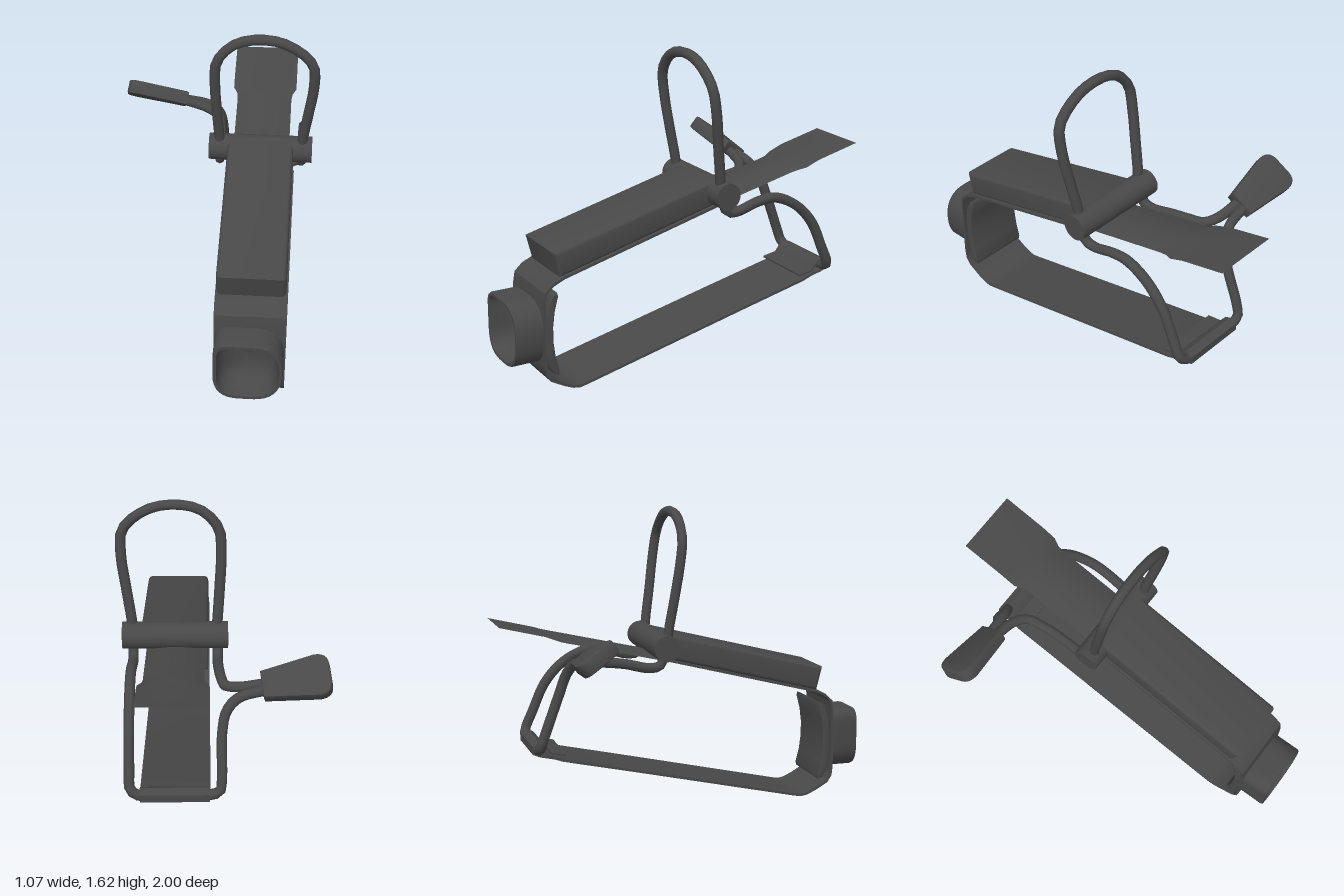
import * as THREE from 'three';
import { toCreasedNormals, mergeVertices } from 'three/addons/utils/BufferGeometryUtils.js';

const CX = 0.238; // centre of the strap across x
const mat = new THREE.MeshStandardMaterial({ color: 0x484848, side: THREE.DoubleSide });
const V = (x, y, z) => new THREE.Vector3(x, y, z);

export function createModel() {
  const model = new THREE.Group();
  const add = (name, geometry) => {
    const mesh = new THREE.Mesh(geometry, mat);
    mesh.name = name;
    model.add(mesh);
    return mesh;
  };

  // Side profile of [z, y] points, extruded across x
  const profile = (pts, width, bevel = 0) => {
    const shape = new THREE.Shape(pts.map(([z, y]) => new THREE.Vector2(z, y)));
    const g = new THREE.ExtrudeGeometry(shape, {
      depth: width - 2 * bevel, bevelEnabled: bevel > 0, bevelSize: bevel,
      bevelThickness: bevel, bevelOffset: -bevel, bevelSegments: 3,
    });
    g.translate(0, 0, -(width - 2 * bevel) / 2).rotateY(-Math.PI / 2).translate(CX, 0, 0);
    return toCreasedNormals(g, 0.6);
  };

  // Thin sheet following a [z, y] path
  const band = (path, width, t) => {
    const side = (s) => path.map(([z, y], i) => {
      const a = path[Math.max(i - 1, 0)], b = path[Math.min(i + 1, path.length - 1)];
      const dz = b[0] - a[0], dy = b[1] - a[1], l = Math.hypot(dz, dy);
      return [z - (s * t * dy) / l / 2, y + (s * t * dz) / l / 2];
    });
    return profile([...side(1), ...side(-1).reverse()], width, 0);
  };

  // Bent round wire
  const wire = (name, pts, r = 0.027, segs = 28) => add(name, new THREE.TubeGeometry(
    new THREE.CatmullRomCurve3(pts.map((p) => V(...p)), false, 'centripetal'), segs, r, 8));

  // Strap: under the housing, round the front and back along the bottom
  add('strap', band([
    [-0.14, 0.826], [0.3, 0.712], [0.74, 0.598], [0.8, 0.572], [0.84, 0.535], [0.849, 0.48],
    [0.849, 0.16], [0.843, 0.11], [0.82, 0.075], [0.75, 0.036], [0.7, 0.015], [0.665, 0.009],
    [0.62, 0.018], [-0.3, 0.23], [-0.68, 0.316], [-0.76, 0.345],
  ], 0.355, 0.013));

  // Folded clip gripping the bottom bar
  add('strapClip', band([
    [-0.66, 0.342], [-0.74, 0.356], [-0.77, 0.395], [-0.8, 0.412], [-0.835, 0.397],
    [-0.835, 0.36], [-0.8, 0.346], [-0.72, 0.328],
  ], 0.345, 0.01));

  // Housing on the upper strap
  add('housing', profile([[0.79, 0.728], [0.757, 0.6], [-0.14, 0.832], [-0.105, 0.957]], 0.345, 0.022));

  // Hinge barrel
  const barrel = new THREE.CylinderGeometry(0.07, 0.07, 0.545, 20).rotateZ(Math.PI / 2);
  add('hingeBarrel', barrel).position.set(CX, 0.895, -0.135);

  // Tongue: a waisted, arched sheet ending in a flat wide tip
  const rows = [ // z, half width, arch
    [-0.13, 0.15, 0.03], [-0.4, 0.15, 0.03], [-0.6, 0.15, 0.03], [-0.64, 0.155, 0.03],
    [-0.68, 0.175, 0.025], [-0.76, 0.176, 0.004], [-1, 0.176, 0],
  ];
  const cols = 8;
  const tongue = new THREE.PlaneGeometry(1, 1, cols, rows.length - 1);
  const tp = tongue.attributes.position;
  for (let i = 0; i < tp.count; i++) {
    const [z, half, arch] = rows[rows.length - 1 - Math.floor(i / (cols + 1))];
    const u = (i % (cols + 1)) / cols * 2 - 1;
    tp.setXYZ(i, CX + u * half, 0.8 - 0.235 * z + arch * (0.4 - u * u), z);
  }
  tongue.computeVertexNormals();
  add('tongue', tongue);

  // Upright loop
  wire('uprightLoop', [
    [0.025, 0.9, -0.12], [0.02, 0.97, -0.115], [0.008, 1.15, -0.085], [0, 1.32, -0.058], [0.012, 1.46, -0.04],
    [0.1, 1.56, -0.036], [0.23, 1.592, -0.036], [0.37, 1.565, -0.036], [0.495, 1.46, -0.04],
    [0.507, 1.33, -0.058], [0.485, 1.15, -0.085], [0.46, 0.97, -0.115], [0.455, 0.9, -0.12],
  ], 0.027, 32);

  // Wire from the barrel out to the handle
  wire('frontHandleWire', [
    [0.02, 0.87, -0.135], [0.02, 0.8, -0.16], [0.02, 0.79, -0.22], [0.015, 0.82, -0.35], [0.005, 0.835, -0.45],
    [-0.015, 0.845, -0.535], [-0.08, 0.865, -0.58], [-0.22, 0.9, -0.6],
  ]);

  // Wire from the handle down to the bar, across it and back up to the barrel
  wire('rearWire', [
    [-0.22, 0.885, -0.635], [-0.08, 0.85, -0.65], [-0.02, 0.79, -0.675], [0.003, 0.68, -0.71],
    [0.005, 0.46, -0.79], [0.015, 0.4, -0.808], [0.06, 0.381, -0.81], [0.24, 0.38, -0.81],
    [0.42, 0.381, -0.81], [0.458, 0.41, -0.8], [0.462, 0.5, -0.76], [0.462, 0.66, -0.685],
    [0.46, 0.77, -0.58], [0.459, 0.83, -0.45], [0.458, 0.825, -0.35], [0.455, 0.79, -0.22],
    [0.455, 0.8, -0.16], [0.455, 0.87, -0.135],
  ], 0.027, 64);

  // Handle: tapered flat grip, tilted about its length
  const grip = new THREE.Shape();
  grip.moveTo(0, -0.07);
  grip.lineTo(0.27, -0.108);
  grip.quadraticCurveTo(0.335, -0.108, 0.338, -0.05);
  grip.lineTo(0.338, 0.05);
  grip.quadraticCurveTo(0.335, 0.108, 0.27, 0.108);
  grip.lineTo(0, 0.07);
  const gripGeo = new THREE.ExtrudeGeometry(grip, {
    depth: 0.055, bevelSize: 0.01, bevelThickness: 0.01, bevelOffset: -0.01, bevelSegments: 2, curveSegments: 6,
  }).translate(0, 0, -0.0275);
  const along = V(-0.33, 0.065, 0).normalize();
  const across = V(0, 0.585, 0.81);
  across.addScaledVector(along, -across.dot(along)).normalize();
  gripGeo.applyMatrix4(new THREE.Matrix4()
    .makeBasis(along, across, along.clone().cross(across)).setPosition(-0.195, 0.893, -0.617));
  add('handle', toCreasedNormals(gripGeo, 0.6));

  // Cup: rounded square outline lofted out to the rim and back into a bowl
  const o = new THREE.Shape(), w = 0.172, h = 0.168;
  o.moveTo(-w, h - 0.07);
  o.quadraticCurveTo(-w, h, -w + 0.07, h);
  o.lineTo(w - 0.15, h);
  o.quadraticCurveTo(w, h, w, h - 0.16);
  o.quadraticCurveTo(w, -h, w - 0.15, -h);
  o.lineTo(-w + 0.13, -h);
  o.quadraticCurveTo(-w, -h, -w, -h + 0.13);
  o.closePath();
  const outline = o.getSpacedPoints(44).slice(0, 44);
  const rings = [[1, 0.845], [1, 0.99], [0.98, 1], [0.9, 1], [0.88, 0.985], [0.84, 0.94], [0.7, 0.895], [0.4, 0.87], [0.001, 0.862]];
  const pos = [], idx = [], n = outline.length;
  rings.forEach(([s, z], r) => outline.forEach((p, i) => {
    pos.push(CX + p.x * s, 0.309 + p.y * s, z);
    if (r === rings.length - 1) return;
    const a = r * n + i, b = r * n + (i + 1) % n;
    idx.push(a, a + n, b, b, a + n, b + n);
  }));
  const cup = new THREE.BufferGeometry();
  cup.setAttribute('position', new THREE.Float32BufferAttribute(pos, 3));
  cup.setIndex(idx);
  add('cup', toCreasedNormals(mergeVertices(cup), 0.7));

  // Curved pad behind the cup
  add('backPad', profile([
    [0.775, 0.525], [0.8, 0.515], [0.825, 0.46], [0.838, 0.38], [0.838, 0.23], [0.825, 0.15], [0.8, 0.1],
    [0.775, 0.09], [0.77, 0.11], [0.79, 0.19], [0.8, 0.27], [0.8, 0.35], [0.79, 0.43], [0.77, 0.505],
  ], 0.335, 0.006));

  return model;
}
